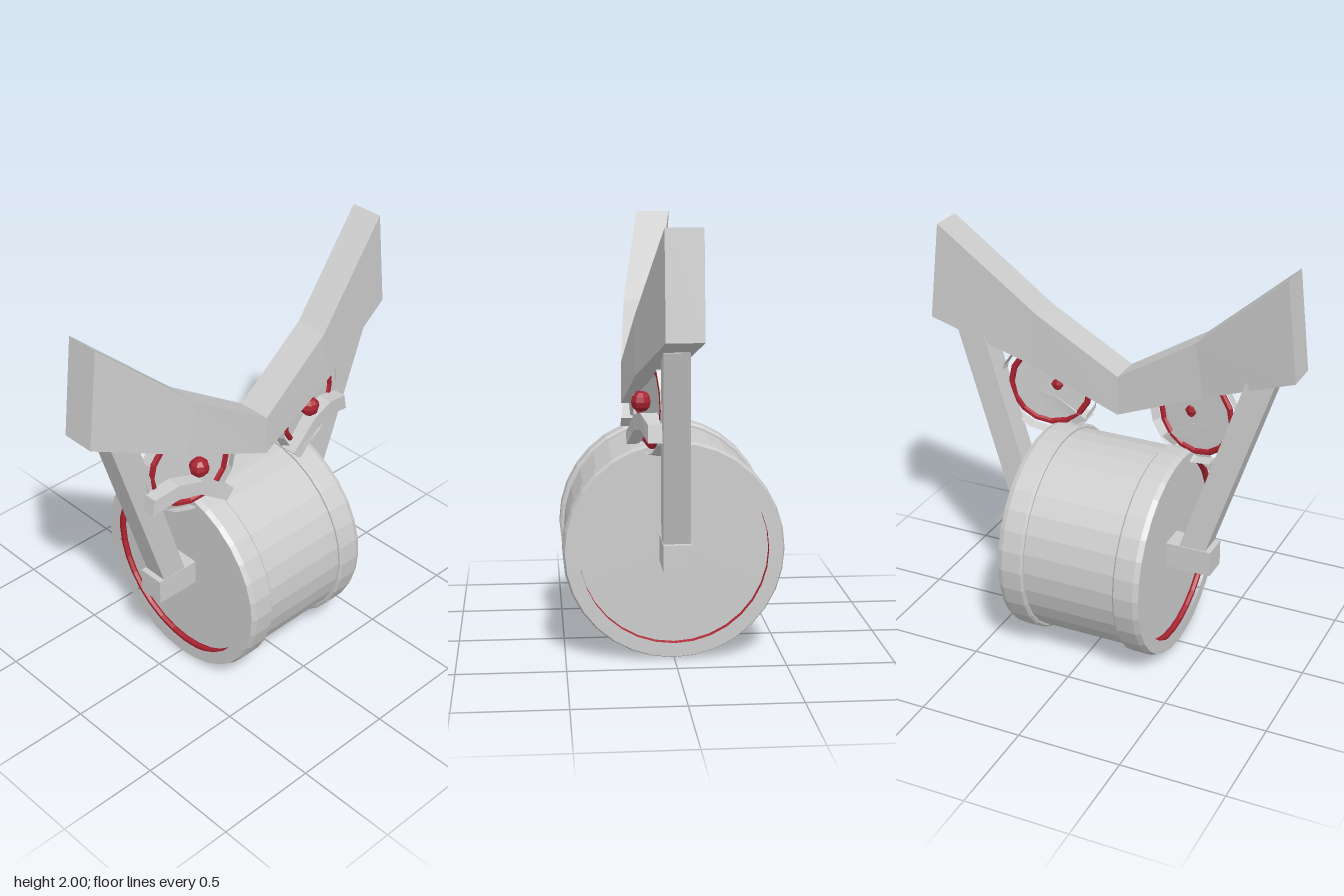
import * as THREE from 'three';

export function createModel() {
  const root = new THREE.Group();
  root.name = 'wheelRobot';
  const grey = new THREE.MeshStandardMaterial({ name: 'light grey', color: 0xcccccc, flatShading: true });
  const greyThin = new THREE.MeshStandardMaterial({ name: 'light grey thin', color: 0xcccccc, flatShading: true, side: THREE.DoubleSide });
  const red = new THREE.MeshStandardMaterial({ name: 'red', color: 0xa82230, flatShading: true });

  const add = (parent, name, geo, mat, x = 0, y = 0, z = 0) => {
    const m = new THREE.Mesh(geo, mat);
    m.name = name;
    m.position.set(x, y, z);
    parent.add(m);
    return m;
  };

  // Skin four-cornered sections (front top, front bottom, back bottom, back top) along x
  const loft = (sections) => {
    const s = [...sections].sort((a, b) => a[0][0] - b[0][0]);
    const pos = [];
    const quad = (a, b, c, d) => pos.push(...a, ...b, ...c, ...a, ...c, ...d);
    for (let i = 0; i < s.length - 1; i++) {
      for (let j = 0; j < 4; j++) {
        const k = (j + 1) % 4;
        quad(s[i][j], s[i][k], s[i + 1][k], s[i + 1][j]);
      }
    }
    const e = s[s.length - 1];
    quad(s[0][0], s[0][3], s[0][2], s[0][1]);
    quad(e[0], e[1], e[2], e[3]);
    const g = new THREE.BufferGeometry();
    g.setAttribute('position', new THREE.Float32BufferAttribute(pos, 3));
    g.computeVertexNormals();
    return g;
  };
  const mirror = (sections, s) => sections.map((c) => c.map(([x, y, z]) => [s * x, y, z]));
  // Section from top point, bottom point and front/back depth
  const section = (tx, ty, bx, by, f, b) => [[tx, ty, f], [bx, by, f], [bx, by, b], [tx, ty, b]];

  // Wheel drum with a raised rim at each end
  const half = [[0.49, 0.23], [0.5, 0.23], [0.51, 0.24], [0.51, 0.335], [0.5, 0.36], [0.435, 0.36]];
  const profile = [...half.map(([r, x]) => [r, -x]).reverse(), ...half];
  const drum = new THREE.LatheGeometry(profile.map(([r, x]) => new THREE.Vector2(r, x)), 32);
  drum.rotateZ(Math.PI / 2);
  add(root, 'wheelDrum', drum, grey, 0, 0.51, 0);

  // V-shaped brow, bowed towards the front
  const brow = [
    section(0.4, 1.59, 0.445, 1.332, 0.183, 0.02),
    section(0.855, 2.0, 0.91, 1.53, 0.088, -0.077),
  ];
  add(root, 'brow', loft([...mirror(brow, -1), section(0, 1.335, 0, 1.14, 0.22, 0.055), ...brow]), grey);

  // Lower eyelid and support arm, built for the left and mirrored
  const lid = [
    section(0.195, 1.035, 0.24, 0.988, 0.21, 0.13),
    section(0.36, 1.145, 0.375, 1.078, 0.185, 0.11),
    section(0.485, 1.172, 0.49, 1.097, 0.165, 0.09),
    section(0.61, 1.14, 0.625, 1.06, 0.14, 0.07),
  ];
  const arm = [
    [[0.37, 0.56, 0.062], [0.5, 0.56, 0.062], [0.5, 0.56, -0.06], [0.37, 0.56, -0.06]],
    [[0.665, 1.475, 0.088], [0.8, 1.475, 0.088], [0.8, 1.475, -0.028], [0.665, 1.475, -0.028]],
  ];

  for (const s of [1, -1]) {
    const side = s > 0 ? 'left' : 'right';

    // Recessed hub disc with a red ring tucked behind the rim
    const disc = add(root, side + 'HubDisc', new THREE.CircleGeometry(0.46, 32), grey, s * 0.31, 0.51, 0);
    disc.rotation.y = s * Math.PI / 2;
    const ring = add(root, side + 'HubRing', new THREE.TorusGeometry(0.452, 0.016, 6, 32), red, s * 0.322, 0.51, 0);
    ring.rotation.y = Math.PI / 2;

    // Axle block and arm
    add(root, side + 'AxleBlock', new THREE.BoxGeometry(0.225, 0.125, 0.13), grey, s * 0.4225, 0.5175, 0);
    add(root, side + 'Arm', loft(mirror(arm, s)), grey);

    // Eye with thin outer shell, red ring, plate and pupil
    const eye = new THREE.Group();
    eye.name = side + 'Eye';
    eye.position.set(s * 0.378, 1.2, 0.11);
    eye.rotation.y = s * 0.2;
    root.add(eye);
    const shell = new THREE.CylinderGeometry(0.232, 0.244, 0.05, 16, 1, true);
    shell.rotateX(Math.PI / 2);
    add(eye, 'eyeShell', shell, greyThin, 0, 0, -0.005);
    add(eye, 'eyeRing', new THREE.TorusGeometry(0.195, 0.015, 6, 16), red);
    add(eye, 'eyePlate', new THREE.CircleGeometry(0.19, 16), greyThin);
    add(eye, 'pupil', new THREE.SphereGeometry(0.048, 8, 6), red, -s * 0.032, 0.003, 0.035);
    add(root, side + 'Eyelid', loft(mirror(lid, s)), grey);
  }
  return root;
}
